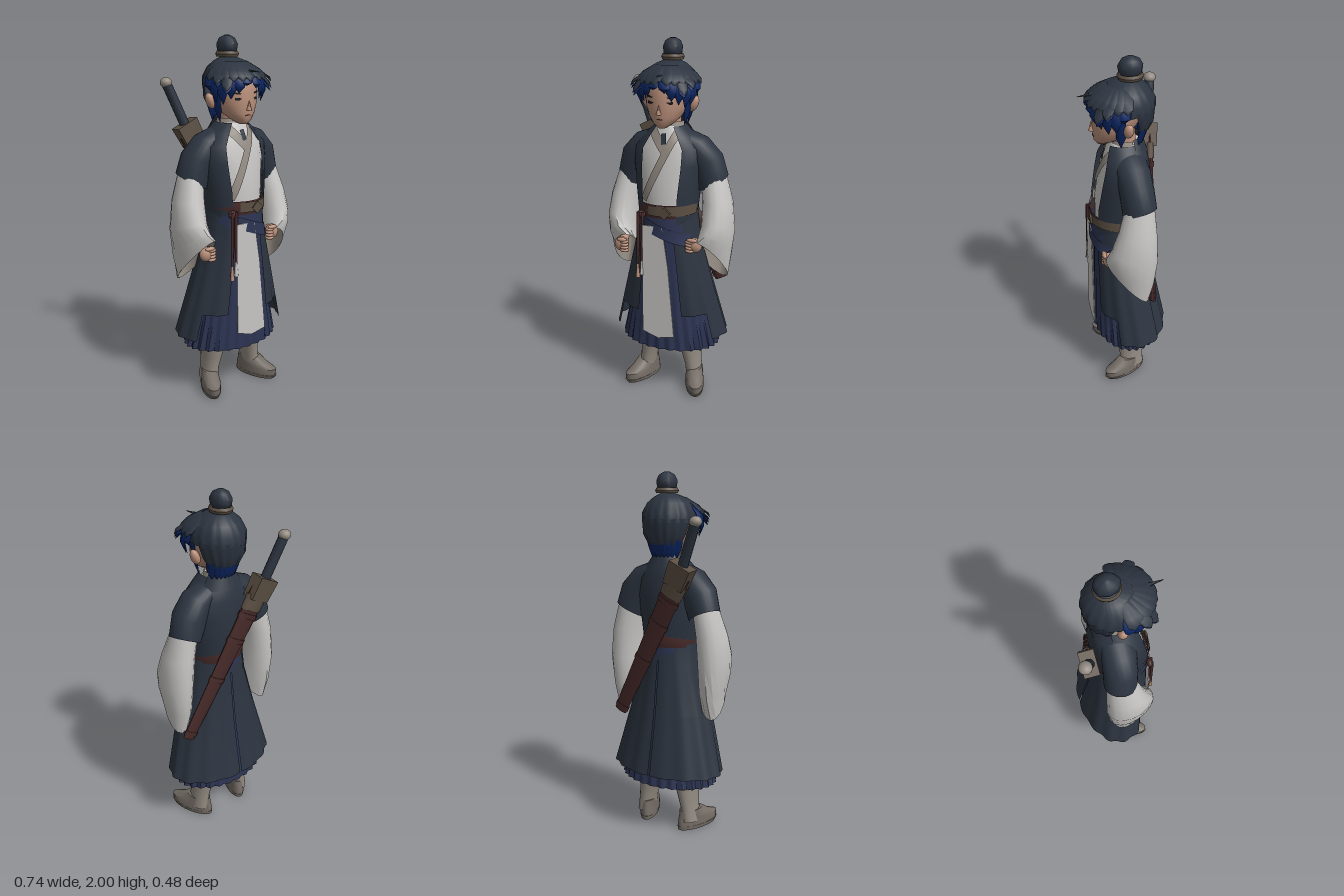
import * as THREE from 'three';
import { toCreasedNormals } from 'three/addons/utils/BufferGeometryUtils.js';

const mat = (name, color) => new THREE.MeshStandardMaterial({ name, color, side: THREE.DoubleSide });
const M = {
  navy: mat('navy cloth', 0x2c3440), white: mat('white cloth', 0xc6c5c3), indigo: mat('indigo cloth', 0x2c3452),
  blue: mat('blue hair', 0x0b2562), skin: mat('skin', 0xb98f7a), maroon: mat('maroon leather', 0x472a29),
  brass: mat('dull brass', 0x5b4f43), trim: mat('grey linen', 0x938b82), sole: mat('dark linen', 0x746c65),
  ink: mat('ink', 0x17171d),
};
const rad = THREE.MathUtils.degToRad;
const V = (a) => new THREE.Vector3(...a);

// Horizontal ring given by height, half width, front and back depth
const H = ([y, rx, zf, zb, cx = 0]) => ({ c: [cx, y, (zf + zb) / 2], u: [rx, 0, 0], v: [0, 0, (zb - zf) / 2] });

// Skin over rings listed from bottom to top; angles: 0 = +x, 90 = back, 270 = front
function loft(rings, { n = 24, a0 = 0, a1 = 360, cap = false, ripple = 0, k = 0, crease = 0.8 } = {}) {
  const closed = a1 - a0 >= 360, cols = closed ? n : n + 1, pos = [], idx = [];
  rings.forEach(({ c, u, v }, i) => {
    for (let j = 0; j < cols; j++) {
      const t = rad(a0 + (a1 - a0) * j / n);
      const f = 1 + ripple * (1 - i / (rings.length - 1)) * Math.cos(k * t);
      for (let q = 0; q < 3; q++) pos.push(c[q] + f * (u[q] * Math.cos(t) + v[q] * Math.sin(t)));
    }
  });
  for (let i = 0; i < rings.length - 1; i++) for (let j = 0; j < n; j++) {
    const a = i * cols + j, b = i * cols + (j + 1) % cols;
    idx.push(a, b, a + cols, b, b + cols, a + cols);
  }
  if (cap) [0, rings.length - 1].forEach((i, top) => {
    const m = pos.length / 3;
    pos.push(...rings[i].c);
    for (let j = 0; j < n; j++) {
      const a = i * cols + j, b = i * cols + (j + 1) % cols;
      top ? idx.push(a, b, m) : idx.push(b, a, m);
    }
  });
  const g = new THREE.BufferGeometry();
  g.setAttribute('position', new THREE.Float32BufferAttribute(pos, 3));
  g.setIndex(idx);
  return toCreasedNormals(g, crease);
}

// Front depth of a body given by a table of rings
function frontZ(table, x, y) {
  let i = 0;
  while (i < table.length - 2 && y > table[i + 1][0]) i++;
  const [p, q] = [table[i], table[i + 1]], s = (y - p[0]) / (q[0] - p[0]);
  const [rx, zf, zb] = [1, 2, 3].map((m) => p[m] + (q[m] - p[m]) * s);
  return (zf + zb) / 2 + (zf - zb) / 2 * Math.sqrt(Math.max(0, 1 - (x / rx) ** 2));
}
// Flat strip lying on the front of a body
function band(table, [x0, y0], [x1, y1], w, lift) {
  const g = new THREE.PlaneGeometry(1, w, 12, 2), p = g.attributes.position;
  const L = Math.hypot(x1 - x0, y1 - y0), dx = (x1 - x0) / L, dy = (y1 - y0) / L;
  for (let i = 0; i < p.count; i++) {
    const s = (p.getX(i) + 0.5) * L, h = p.getY(i);
    const x = x0 + dx * s - dy * h, y = y0 + dy * s + dx * h;
    p.setXYZ(i, x, y, frontZ(table, x, y) + lift);
  }
  g.computeVertexNormals();
  return g;
}

const TORSO = [[1.04, 0.148, 0.16, -0.112], [1.2, 0.165, 0.16, -0.125], [1.35, 0.185, 0.135, -0.13],
  [1.44, 0.185, 0.115, -0.12], [1.5, 0.13, 0.095, -0.11], [1.555, 0.072, 0.07, -0.085]];
const VEST = TORSO.map(([y, rx, zf, zb]) => [y, rx + 0.012, zf + 0.028, zb - 0.01]);
const SKIRT = [[0.29, 0.285, 0.183, -0.205], [0.45, 0.25, 0.18, -0.185], [0.7, 0.2, 0.172, -0.15], [1.07, 0.15, 0.165, -0.112]];
const COAT = [[0.7, 0.24, 0.185, -0.168], [0.95, 0.175, 0.18, -0.135], [1.09, 0.16, 0.176, -0.122]];
const LONG_HEM = [0.36, 0.33, 0.187, -0.235], SHORT_HEM = [0.51, 0.287, 0.188, -0.204];

export function createModel() {
  const root = new THREE.Group();
  const add = (name, geo, m, parent = root) => {
    const o = new THREE.Mesh(geo, m);
    o.name = name;
    parent.add(o);
    return o;
  };
  const ball = (name, m, [x, y, z], [a, b, c], parent) => {
    const o = add(name, new THREE.SphereGeometry(1, 18, 12), m, parent);
    o.position.set(x, y, z);
    o.scale.set(a, b, c);
    return o;
  };
  // Straight tapered rod between two points, optionally flattened in depth
  const rod = (name, m, a, b, r0, r1, flat = 1, n = 12) => {
    const d = V(b).sub(V(a));
    const o = add(name, toCreasedNormals(new THREE.CylinderGeometry(r1, r0, d.length(), n).scale(1, 1, flat), 0.8), m);
    o.position.copy(V(a)).addScaledVector(d, 0.5);
    o.quaternion.setFromUnitVectors(new THREE.Vector3(0, 1, 0), d.normalize());
    return o;
  };

  // Robe, vest and crossed collar
  add('robe', loft(TORSO.map(H), { cap: true }), M.white);
  add('vest', loft(VEST.map(H), { n: 32, a0: -56, a1: 236 }), M.navy);
  add('vestNeck', loft([[1.5, 0.135, 0.1, -0.122], [1.585, 0.074, 0.07, -0.094]].map(H), { a0: 15, a1: 165 }), M.navy);
  add('collarRing', loft([[1.49, 0.1, 0.078, -0.105], [1.575, 0.07, 0.064, -0.085]].map(H), { a0: 165, a1: 375 }), M.trim);
  add('underCollar', band(TORSO, [-0.075, 1.535], [0.025, 1.42], 0.05, 0.009), M.trim);
  add('overCollar', band(TORSO, [0.075, 1.535], [-0.1, 1.16], 0.042, 0.012), M.trim);
  add('throatCloth', band(TORSO, [0.0, 1.52], [0.008, 1.465], 0.026, 0.015), M.navy);

  // Pleated skirt, split coat tails (front ones shorter) and hanging front panel
  add('pleatedSkirt', loft(SKIRT.map(H), { n: 168, ripple: 0.03, k: 28, crease: 0.5 }), M.indigo);
  for (const [name, a, b, hem] of [['frontTail', -63, -27, SHORT_HEM], ['sideTail', -31, 33, LONG_HEM], ['backTail', 29, 89, LONG_HEM]]) {
    const d = name === 'backTail' ? 0 : 0.004;
    const rings = [hem, ...COAT].map(([y, rx, zf, zb]) => H([y, rx + d, zf + d, zb - d]));
    const opt = { n: 20, ripple: 0.018, k: 14 };
    add(name + 'Left', loft(rings, { ...opt, a0: a, a1: b }), M.navy);
    add(name + 'Right', loft(rings, { ...opt, a0: 180 - b, a1: 180 - a }), M.navy);
  }
  const panel = new THREE.Shape([[-0.09, 0.4], [0.005, 0.37], [0.098, 0.39], [0.06, 0.8], [0.025, 1.03], [-0.09, 1.03]]
    .map(([x, y]) => new THREE.Vector2(x, y)));
  const front = add('frontPanel', new THREE.ExtrudeGeometry(panel, { depth: 0.006, bevelEnabled: false }), M.white);
  front.position.z = 0.203;
  front.rotation.x = -0.016;

  // Waist sash, belt, buckle, knot and hanging cords
  const WAIST = [[0.85, 0.2, 0.195, -0.14], [1.0, 0.168, 0.188, -0.13], [1.08, 0.16, 0.184, -0.126]];
  add('sash', loft(WAIST.slice(1).map(H)), M.indigo);
  add('sashFold', band(WAIST, [-0.14, 1.06], [0.15, 0.95], 0.065, 0.008), M.indigo);
  add('belt', loft([[1.075, 0.162, 0.186, -0.128], [1.11, 0.168, 0.192, -0.134], [1.15, 0.164, 0.188, -0.13]].map(H)), M.maroon);
  add('beltFront', loft([[1.09, 0.17, 0.195, -0.134], [1.145, 0.17, 0.195, -0.134]].map(H), { a0: 248, a1: 356 }), M.brass);
  const buckle = add('buckle', new THREE.CylinderGeometry(0.035, 0.035, 0.012, 4).rotateX(Math.PI / 2), M.brass);
  buckle.position.set(0.04, 1.11, 0.194);
  ball('beltKnot', M.maroon, [-0.105, 1.085, 0.172], [0.026, 0.022, 0.018]);
  for (const [x, y] of [[-0.12, 0.8], [-0.095, 0.82]]) {
    rod('cord', M.maroon, [x, y, 0.19], [x + 0.005, 1.1, 0.184], 0.007, 0.009);
    rod('tassel', x < -0.1 ? M.skin : M.white, [x, y - 0.08, 0.192], [x, y, 0.19], 0.012, 0.006);
  }

  // Arms: wide sleeves, short vest sleeves and hands
  for (const s of [1, -1]) {
    const side = s > 0 ? 'left' : 'right', arm = new THREE.Group();
    arm.name = side + 'Arm';
    root.add(arm);
    // mirrored rings run the other way round, so the width vector flips back
    const mx = (r) => ({ c: [r.c[0] * s, r.c[1], r.c[2]], u: [r.u[0], r.u[1] * s, r.u[2] * s], v: [r.v[0] * s, r.v[1], r.v[2]] });
    const sleeve = [
      { c: [0.255, 0.82, 0.04], u: [0.07, 0, 0.02], v: [0.045, -0.13, -0.11] },
      { c: [0.272, 0.9, 0.025], u: [0.082, 0, 0.01], v: [0.02, -0.09, -0.128] },
      { c: [0.282, 1.01, 0.005], u: [0.087, 0, 0], v: [0.005, -0.035, -0.125] },
      { c: [0.27, 1.15, -0.012], u: [0.082, 0, 0], v: [0, 0, -0.103] },
      { c: [0.235, 1.3, -0.03], u: [0.065, 0.02, 0], v: [0, 0, -0.075] }].map(mx);
    add(side + 'WideSleeve', loft(sleeve, { n: 16, crease: 0.6 }), M.white, arm);
    const inner = sleeve.slice(0, 3).map(({ c, u, v }) => ({ c, u: u.map((q) => q * 0.95), v: v.map((q) => q * 0.96) }));
    add(side + 'SleeveLining', loft(inner, { n: 16 }), M.trim, arm);
    add(side + 'VestSleeve', loft([
      { c: [0.235, 1.25, -0.03], u: [0.082, 0.038, 0], v: [0, 0.02, -0.088] },
      { c: [0.2, 1.355, -0.022], u: [0.085, 0.05, 0], v: [0, 0, -0.09] },
      { c: [0.145, 1.44, -0.015], u: [0.058, 0.052, 0], v: [0, 0, -0.09] },
      { c: [0.08, 1.485, -0.012], u: [0.02, 0.045, 0], v: [0, 0, -0.08] }].map(mx)), M.navy, arm);
    const hx = s > 0 ? 0.19 : -0.245, hy = s > 0 ? 0.93 : 0.88, hz = 0.13;
    rod(side + 'Wrist', M.skin, [hx, hy, hz - 0.01], [0.265 * s, 0.95, 0.02], 0.028, 0.032);
    ball(side + 'Palm', M.skin, [hx, hy, hz], [0.042, 0.042, 0.03], arm);
    for (let i = 0; i < 4; i++)
      ball(side + 'Finger', M.skin, [hx - s * 0.022, hy + 0.02 - i * 0.017, hz + 0.014], [0.027, 0.011, 0.02], arm);
    ball(side + 'Thumb', M.skin, [hx - s * 0.01, hy + 0.032, hz + 0.02], [0.03, 0.012, 0.013], arm);

    // Leg, boot shaft, cuff and turned out foot
    add(side + 'Leg', loft([[0.24, 0.055, 0.06, -0.08, 0.12 * s], [0.95, 0.07, 0.08, -0.08, 0.075 * s]].map(H)), M.trim);
    add(side + 'BootShaft', loft([[0.05, 0.047, 0.06, -0.085, 0.152 * s], [0.13, 0.046, 0.058, -0.083, 0.142 * s],
      [0.2, 0.054, 0.068, -0.09, 0.13 * s], [0.27, 0.064, 0.08, -0.097, 0.12 * s]].map(H)), M.trim);
    add(side + 'BootCuff', loft([[0.25, 0.066, 0.08, -0.1, 0.12 * s], [0.265, 0.072, 0.087, -0.104, 0.118 * s],
      [0.29, 0.07, 0.085, -0.1, 0.116 * s], [0.3, 0.055, 0.07, -0.085, 0.116 * s]].map(H)), M.sole);
    const foot = new THREE.Group();
    foot.name = side + 'Foot';
    foot.position.x = 0.152 * s;
    foot.rotation.y = 0.38 * s;
    root.add(foot);
    add(side + 'Sole', loft([[0, 0.052, 0.162, -0.1], [0.022, 0.055, 0.178, -0.102]].map(H), { cap: true }), M.sole, foot);
    add(side + 'Shoe', loft([[0.02, 0.054, 0.17, -0.1], [0.06, 0.053, 0.175, -0.096], [0.08, 0.051, 0.12, -0.09],
      [0.115, 0.046, 0.065, -0.086]].map(H), { cap: true }), M.sole, foot);

    // Ear, eye and brow
    ball(side + 'Ear', M.skin, [0.133 * s, 1.67, 0.005], [0.024, 0.044, 0.026]).rotation.z = -0.4 * s;
    const eye = add(side + 'Eye', new THREE.BoxGeometry(0.038, 0.013, 0.008), M.ink);
    eye.position.set(0.05 * s, 1.685, 0.144);
    eye.rotation.set(0, 0.4 * s, 0.1 * s);
    const brow = add(side + 'Brow', new THREE.BoxGeometry(0.05, 0.008, 0.008), M.ink);
    brow.position.set(0.052 * s, 1.714, 0.142);
    brow.rotation.set(0, 0.4 * s, 0.15 * s);
  }

  // Head and neck
  rod('neck', M.skin, [0, 1.47, -0.01], [0, 1.64, 0], 0.062, 0.055, 1, 18);
  add('head', loft([[1.553, 0.02, 0.14, 0.08], [1.575, 0.052, 0.156, 0.03], [1.61, 0.085, 0.16, -0.03], [1.66, 0.108, 0.163, -0.07],
    [1.72, 0.117, 0.16, -0.1], [1.8, 0.115, 0.148, -0.12], [1.86, 0.06, 0.09, -0.06]].map(H), { cap: true, crease: 1.2 }), M.skin);
  add('nose', new THREE.ConeGeometry(0.014, 0.055, 6), M.skin).position.set(0, 1.655, 0.168);
  add('mouth', new THREE.BoxGeometry(0.03, 0.005, 0.006), M.maroon).position.set(0, 1.602, 0.159);

  // Hair: crown, back, topknot and locks
  add('crownHair', loft([[1.74, 0.143, 0.14, -0.158], [1.79, 0.145, 0.155, -0.157], [1.84, 0.12, 0.125, -0.13],
    [1.872, 0.08, 0.07, -0.095], [1.892, 0.035, 0.01, -0.06]].map(H), { n: 72, cap: true, ripple: 0.025, k: 18 }), M.navy);
  add('backHair', loft([[1.625, 0.098, 0.05, -0.125], [1.68, 0.13, 0.085, -0.152], [1.76, 0.145, 0.14, -0.158]].map(H),
    { n: 48, a0: 8, a1: 172, ripple: 0.04, k: 18 }), M.navy);
  add('topknot', loft([[1.895, 0.03, 0.0, -0.065], [1.925, 0.048, 0.024, -0.092], [1.955, 0.052, 0.03, -0.096],
    [1.985, 0.04, 0.012, -0.08], [2.0, 0.015, -0.02, -0.048]].map(H), { n: 24, cap: true, ripple: 0.05, k: 8 }), M.navy);
  add('topknotTie', loft([[1.89, 0.056, 0.028, -0.094], [1.905, 0.061, 0.034, -0.1], [1.92, 0.053, 0.026, -0.092]].map(H)), M.brass);

  // A lock falls from the base through a middle to a pointed tip: [height, spread, half width]
  const lock = (name, m, deg, pts) => add(name, loft(pts.map(([y, k, w]) => {
    const c = Math.cos(rad(deg)), sn = Math.sin(rad(deg));
    return { c: [0.13 * k * c, y, 0.01 - 0.14 * k * sn], u: [c * w * 0.35, 0, -sn * w * 0.35], v: [-sn * w, 0, -c * w] };
  }), { n: 8, cap: true }), m);
  const bangs = [[-172, 1.72], [-158, 1.67], [-143, 1.66], [-128, 1.69], [-113, 1.72], [-99, 1.755],
    [-77, 1.74], [-64, 1.70], [-50, 1.68], [-36, 1.66], [-22, 1.67], [-8, 1.72]];
  for (const [deg, y] of bangs) {
    const wide = Math.abs(Math.cos(rad(deg)));
    lock('blueBang', M.blue, deg, [[y, 1.26 - 0.16 * wide, 0.002], [(y + 1.78) / 2, 1.27, 0.028], [1.79, 1.2, 0.036], [1.83, 0.9, 0.02]]);
    lock('darkBang', M.navy, deg + 5, [[1.778, 1.36, 0.002], [1.8, 1.26, 0.03], [1.83, 1.02, 0.036], [1.87, 0.55, 0.02]]);
  }
  for (const deg of [40, 54, 66, 78, 90, 102, 114, 126, 140])
    lock('napeLock', M.blue, deg, [[1.555, 0.78, 0.002], [1.6, 0.84, 0.024], [1.65, 0.95, 0.026]]);
  for (const s of [1, -1]) {
    lock('sideBurn', M.blue, s > 0 ? -14 : 194, [[1.56, 0.72, 0.002], [1.62, 0.84, 0.024], [1.71, 0.96, 0.026], [1.78, 1, 0.02]]);
    for (const [deg, y] of [[-32, 1.75], [-46, 1.72]]) {
      const a = s > 0 ? deg : 180 - deg;
      lock('sideWing', M.blue, a, [[y, 1.54, 0.002], [y + 0.02, 1.43, 0.022], [1.79, 1.12, 0.03]]);
      lock('darkWing', M.navy, a, [[y + 0.014, 1.57, 0.003], [y + 0.038, 1.45, 0.026], [1.815, 1.12, 0.034]]);
    }
  }
  rod('frontWisp', M.navy, [0.0, 1.83, 0.1], [0.015, 1.825, 0.235], 0.018, 0.002, 0.6, 6);

  // Broad flat sheathed sword across the back
  const guard = [-0.16, 1.48, -0.168], tip = [0.277, 0.665, -0.1], end = [-0.275, 1.755, -0.208];
  const along = (t) => V(guard).lerp(V(tip), t).toArray();
  rod('scabbard', M.maroon, tip, guard, 0.04, 0.066, 0.4, 16);
  for (const [t, r] of [[0.16, 0.067], [0.32, 0.062], [0.58, 0.055], [0.95, 0.045]])
    rod('scabbardBand', M.maroon, along(t + 0.03), along(t), r, r, 0.45, 16);
  const hilt = rod('guardBlock', M.brass, along(0.07), [-0.185, 1.535, -0.176], 0.06, 0.066, 1, 4);
  hilt.geometry.rotateY(Math.PI / 4);
  hilt.geometry.scale(1.4, 1, 0.85);
  rod('scabbardMouth', M.brass, along(0.14), along(0.05), 0.066, 0.07, 0.5, 16);
  rod('grip', M.navy, [-0.18, 1.52, -0.174], end, 0.027, 0.027);
  ball('pommel', M.trim, end, [0.033, 0.028, 0.033]);
  return root;
}
